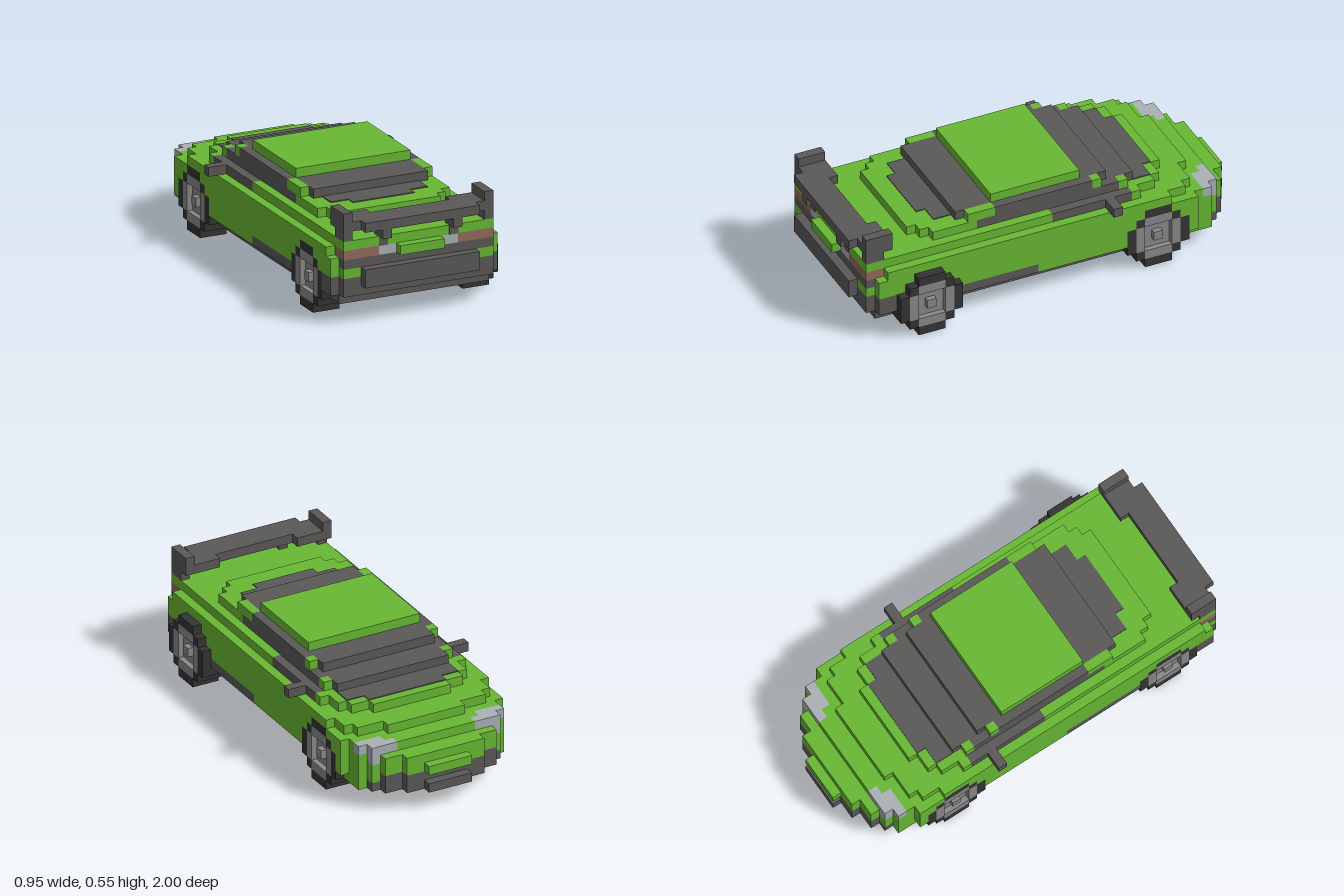
import * as THREE from 'three';
import { mergeGeometries } from 'three/addons/utils/BufferGeometryUtils.js';

const V = 1 / 22; // one block; all sizes below are in blocks

const paint = (name, color) => {
  const m = new THREE.MeshStandardMaterial({ color });
  m.name = name;
  return m;
};

function box(x0, x1, y0, y1, z0, z1) {
  return new THREE.BoxGeometry((x1 - x0) * V, (y1 - y0) * V, (z1 - z0) * V)
    .translate((x0 + x1) / 2 * V, (y0 + y1) / 2 * V, (z0 + z1) / 2 * V);
}

// the same box on both sides of the car
const pair = (x0, x1, y0, y1, z0, z1) =>
  [box(x0, x1, y0, y1, z0, z1), box(-x1, -x0, y0, y1, z0, z1)];

// wheel arches: half length of the opening on each level
const ARCH = { 2: 3.5, 3: 3.5, 4: 3.5, 5: 2.5, 6: 1.5 };
const AXLES = [-11.5, 14.5];

// centred slab, one block high, narrowed where it crosses a wheel arch
function slab(level, half, z0, z1) {
  const out = [];
  const add = (h, a, b) => b > a && out.push(box(-h, h, level, level + 1, a, b));
  let z = z0;
  if (ARCH[level]) {
    for (const axle of AXLES) {
      const a = Math.max(z, axle - ARCH[level]);
      const b = Math.min(z1, axle + ARCH[level]);
      if (b <= a) continue;
      add(half, z, a);
      add(Math.min(half, 6.5), a, b);
      z = b;
    }
  }
  add(half, z, z1);
  return out;
}

// [level, half width, z start, z end]
const GREEN_SLABS = [
  [2, 8.5, -18, -15],
  [3, 7.5, -19, -18], [3, 8.5, -18, -16], [3, 9.5, -16, 2],
  [4, 2.5, -22, -21], [4, 4.5, -21, -20], [4, 6.5, -20, -19], [4, 7.5, -19, -18],
  [4, 8.5, -18, -16], [4, 9.5, -16, 18],
  [5, 4.5, -21, -20], [5, 6.5, -20, -18], [5, 8.5, -18, -16], [5, 9.5, -16, 20], [5, 8.5, 20, 21],
  [6, 4.5, -19, -18], [6, 5.5, -18, -17], [6, 8.5, -17, -16], [6, 9.5, -16, 20],
  [7, 4.5, -17, -16], [7, 7.5, -16, -15], [7, 8.5, -15, -13], [7, 9.5, -13, 19],
  [7, 4.5, 19, 20], [7, 2.5, 20, 22],
  [8, 4.5, -14, -13], [8, 6.5, -13, -12], [8, 7.5, -12, -10], [8, 8.5, -10, -9],
  [8, 7.5, -9, 0], [8, 8.5, 0, 21],
  [9, 7.5, 10, 13], [9, 6.5, 13, 14], [9, 5.5, 14, 15],
];
const TRIM_SLABS = [
  [2, 2.5, -22, -21], [2, 4.5, -21, -20], [2, 6.5, -20, -19], [2, 7.5, -19, -18], [2, 8.5, -15, 20],
  [3, 4.5, -21, -20], [3, 6.5, -20, -19], [3, 9.5, 2, 20], [3, 8.5, 20, 21],
  [4, 9.5, 18, 20], [4, 8.5, 20, 21], [6, 8.5, 20, 21],
];

export function createModel() {
  const green = paint('bodyGreen', 0x68b934);
  const grey = paint('trimGrey', 0x5b5858);
  const black = paint('tyreBlack', 0x343434);
  const silver = paint('rimGrey', 0x898989);
  const pale = paint('lampPale', 0xaab0b5);
  const brown = paint('tailLampBrown', 0x936a5c);

  const car = new THREE.Group();
  car.name = 'car';
  const part = (name, material, geometries, parent = car) => {
    const mesh = new THREE.Mesh(mergeGeometries(geometries.flat()), material);
    mesh.name = name;
    parent.add(mesh);
  };

  // lower body and bumpers
  part('bodyShell', green, GREEN_SLABS.map((s) => slab(...s)));
  part('lowerTrim', grey, TRIM_SLABS.map((s) => slab(...s)));
  part('rearBumper', grey, [box(-6.5, 6.5, 4, 6, 21, 22), box(-6.5, 6.5, 5, 6, 20.9, 21.1)]);

  // cabin: glass core, pillars and roof
  part('windscreenGlass', grey, [
    box(-6.5, 6.5, 9, 10, -10, 10),
    box(-6.5, 6.5, 10, 11, -7, 10),
    box(-6.5, 6.5, 9, 9.1, -12, -10),
    box(-4.5, 4.5, 9, 9.1, -13, -12),
  ]);
  part('rearGlass', grey, [box(-5.5, 5.5, 10, 10.1, 10, 12), box(-3.5, 3.5, 10, 10.1, 12, 13)]);
  part('sideWindows', grey, [
    pair(6.5, 7.5, 10, 11, -5, 6),
    pair(6.5, 7.5, 9, 10, -8, 8),
    pair(7.5, 8.5, 8, 9, -9, 0),
  ]);
  part('pillars', green, [
    pair(6.5, 7.5, 10, 11, -6, -5), pair(6.5, 7.5, 10, 11, 6, 9),
    pair(6.5, 7.5, 9, 10, -9, -8), pair(6.5, 7.5, 9, 10, 8, 10),
  ]);
  part('roof', green, [box(-6.5, 6.5, 11, 12, -4, 6)]);
  part('mirrors', grey, pair(8.5, 10.5, 8, 9, -7, -6));

  // lamps
  part('headlamps', pale, [
    pair(4.5, 7.5, 6, 7, -19, -18),
    pair(5.5, 8.5, 6, 7, -18, -17),
    pair(6.5, 7.5, 5, 6, -19, -18),
  ]);
  part('tailLamps', brown, pair(4.5, 8.5, 7, 8, 19, 21));
  part('reverseLamps', pale, pair(2.5, 4.5, 7, 8, 20, 21));

  // rear wing with end plates and struts
  part('rearWing', grey, [
    box(-4.5, 4.5, 10, 11, 19, 22),
    pair(4.5, 6.5, 10, 11, 18, 22),
    pair(6.5, 8.5, 10, 11, 18, 21),
    pair(7.5, 8.5, 11, 12, 18, 21),
    pair(7.5, 8.5, 9, 10, 19, 21),
    pair(3.5, 4.5, 9, 10, 20, 22),
    pair(3.5, 4.5, 8, 9, 20, 21.1),
  ]);

  // block wheels: tyre, rim ring, sunken dish and centre cap
  const wheel = (name, side, inner, axle) => {
    const tyre = [], rim = [];
    for (let i = -3; i <= 3; i++) {
      for (let j = -3; j <= 3; j++) {
        const a = Math.abs(i), b = Math.abs(j);
        if (a + b > 4) continue;
        const isRim = a < 3 && b < 3 && a + b < 4;
        const dish = a < 2 && b < 2 && a + b > 0;
        const outer = inner + (dish ? 2.4 : 3);
        const [x0, x1] = side > 0 ? [inner, outer] : [-outer, -inner];
        (isRim ? rim : tyre).push(box(x0, x1, 3 + j, 4 + j, axle + i - 0.5, axle + i + 0.5));
      }
    }
    const group = new THREE.Group();
    group.name = name;
    part('tyre', black, tyre, group);
    part('rim', silver, rim, group);
    car.add(group);
  };
  wheel('noseWheelLeft', 1, 6.5, AXLES[0]);
  wheel('noseWheelRight', -1, 6.5, AXLES[0]);
  wheel('tailWheelLeft', 1, 7.5, AXLES[1]);
  wheel('tailWheelRight', -1, 6.5, AXLES[1]);

  return car;
}
